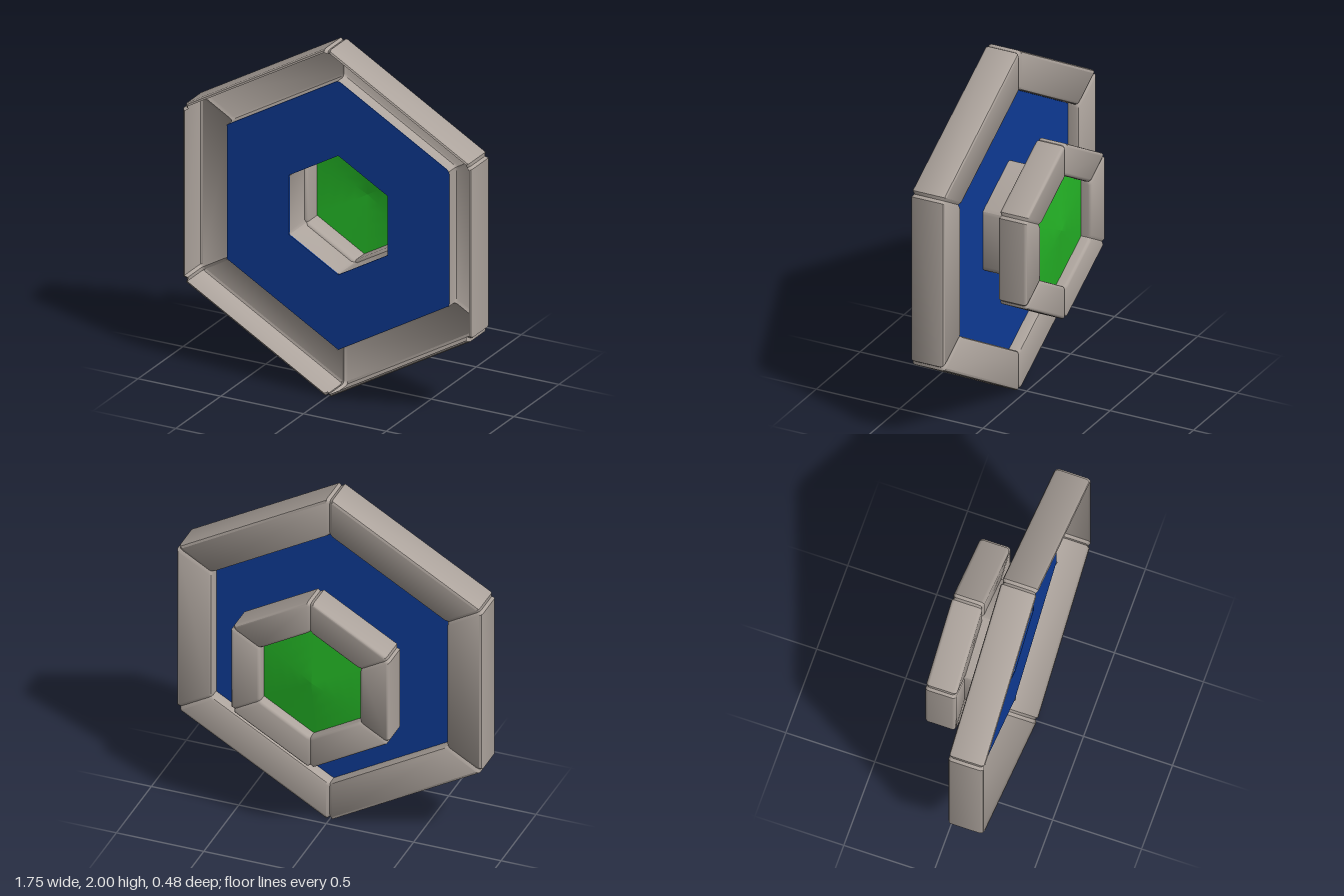
import * as THREE from 'three';
import { mergeGeometries, toCreasedNormals } from 'three/addons/utils/BufferGeometryUtils.js';

const TAN30 = Math.tan(Math.PI / 6);

// Sweeps a profile of [apothem, z] points round six mitred sides, with a small notch at each corner.
// The profile runs from front to back on its outer wall.
function hexRing(profile, notch, bevel) {
  const as = profile.map(p => p[0]), zs = profile.map(p => p[1]);
  const midA = (Math.min(...as) + Math.max(...as)) / 2;
  const midZ = (Math.min(...zs) + Math.max(...zs)) / 2;
  const sides = [];
  for (let s = 0; s < 6; s++) {
    const phi = s * Math.PI / 3, c = Math.cos(phi), n = Math.sin(phi);
    const pos = [], index = [];
    for (let j = 0; j < 4; j++) {
      const atCorner = j === 0 || j === 3, sign = j < 2 ? -1 : 1;
      for (const [a0, z0] of profile) {
        const a = atCorner && a0 >= midA ? a0 - notch : a0;
        const z = atCorner ? z0 - Math.sign(z0 - midZ) * Math.min(notch * 0.6, Math.abs(z0 - midZ)) : z0;
        const t = sign * (a * TAN30 - (atCorner ? 0 : bevel));
        pos.push(a * c - t * n, a * n + t * c, z);
      }
    }
    const m = profile.length;
    for (let j = 0; j < 3; j++) {
      for (let i = 0; i < m - 1; i++) {
        const p = j * m + i, q = p + m;
        index.push(p, p + 1, q, q, p + 1, q + 1);
      }
    }
    const g = new THREE.BufferGeometry();
    g.setAttribute('position', new THREE.Float32BufferAttribute(pos, 3));
    g.setIndex(index);
    sides.push(toCreasedNormals(g, 0.7));
  }
  return mergeGeometries(sides);
}

// Closed rectangular section with rounded corners
function roundedSection(a0, a1, z0, z1, r) {
  const pts = [];
  const corners = [[a1 - r, z1 - r, 90], [a1 - r, z0 + r, 0], [a0 + r, z0 + r, -90], [a0 + r, z1 - r, -180]];
  for (const [a, z, start] of corners) {
    for (let k = 0; k <= 3; k++) {
      const w = (start - k * 30) * Math.PI / 180;
      pts.push([a + r * Math.cos(w), z + r * Math.sin(w)]);
    }
  }
  pts.push(pts[0]);
  return pts;
}

function hexPoints(r) {
  return Array.from({ length: 6 }, (_, i) => {
    const w = Math.PI / 2 + i * Math.PI / 3;
    return new THREE.Vector2(r * Math.cos(w), r * Math.sin(w));
  });
}

export function createModel() {
  const material = (name, color) => {
    const m = new THREE.MeshStandardMaterial({ color, side: THREE.DoubleSide });
    m.name = name;
    return m;
  };
  const grey = material('warm grey', 0xaca39c);
  const blue = material('deep blue', 0x0e3b96);
  const green = material('bright green', 0x24b426);

  const group = new THREE.Group();
  group.name = 'hexagonalDisc';
  const add = (name, geometry, mat) => {
    const mesh = new THREE.Mesh(geometry, mat);
    mesh.name = name;
    mesh.position.y = 1;
    group.add(mesh);
  };

  // Outer frame: a channel open to the front, its inner wall rising to the panel
  add('outerFrame', hexRing([
    [0.858, 0.24], [0.868, 0.236], [0.875, 0.222], [0.875, 0.058], [0.87, 0.045],
    [0.857, 0.04], [0.69, 0.04], [0.677, 0.045], [0.672, 0.058], [0.672, 0.112],
  ], 0.016, 0.02), grey);

  // Thin panel with a hexagonal opening
  const shape = new THREE.Shape(hexPoints(0.775));
  shape.holes.push(new THREE.Path(hexPoints(0.343)));
  const panel = new THREE.ExtrudeGeometry(shape, { depth: 0.008, bevelEnabled: false });
  panel.translate(0, 0, 0.106);
  add('panel', panel, blue);

  // Neck joining the panel to the hub
  add('neck', hexRing([[0.3, 0.112], [0.3, -0.08]], 0.006, 0.02), grey);

  // Rear hub ring
  add('hubRing', hexRing(roundedSection(0.285, 0.453, -0.236, -0.064, 0.018), 0.014, 0.02), grey);

  // Shallow lens bulging to the back
  const lens = new THREE.ConeGeometry(0.335, 0.035, 6, 4, true);
  lens.rotateX(-Math.PI / 2);
  lens.translate(0, 0, -0.193);
  add('lens', lens, green);

  return group;
}
